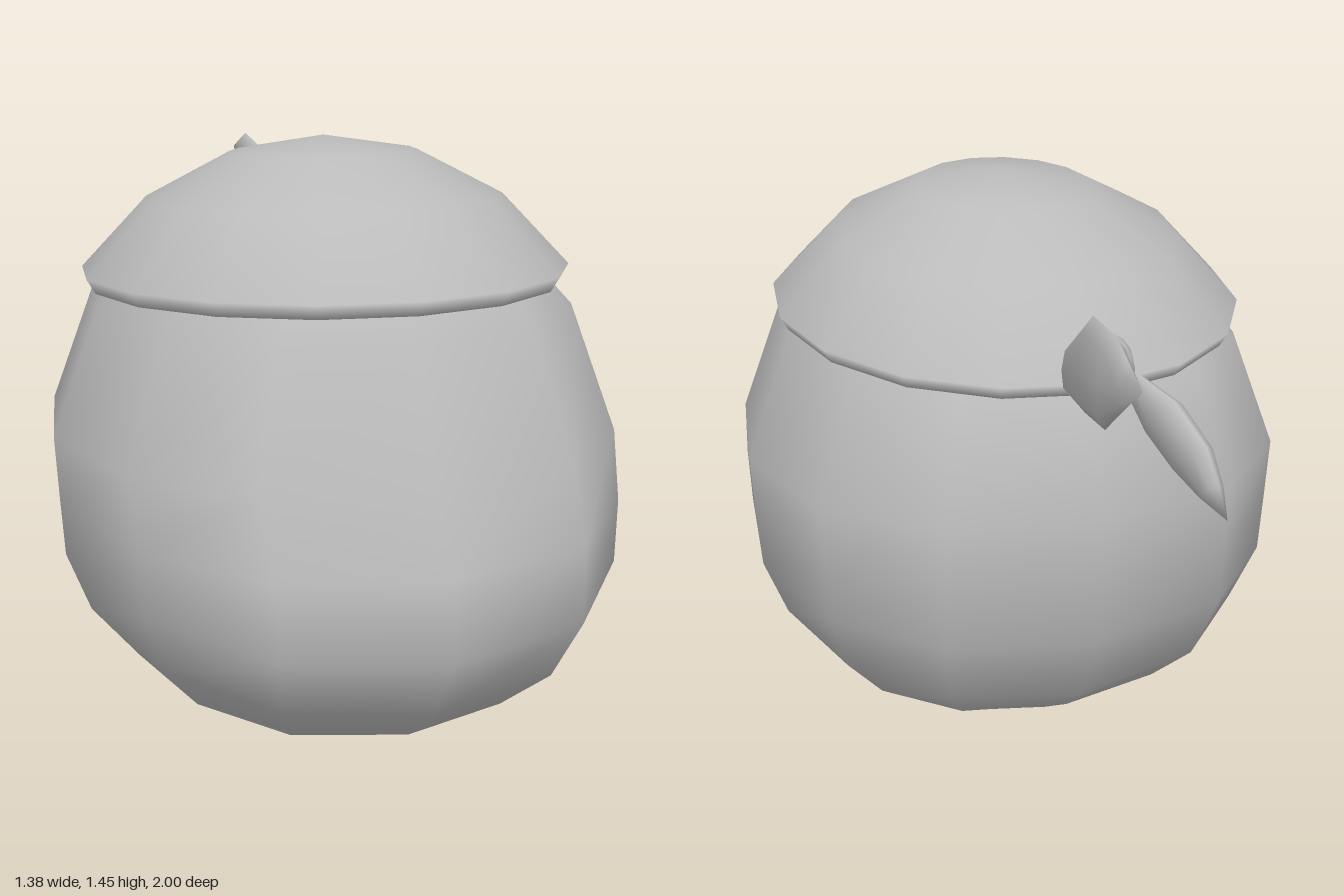
import * as THREE from 'three';
import { mergeVertices } from 'three/addons/utils/BufferGeometryUtils.js';

const grey = new THREE.MeshStandardMaterial({ color: 0xbbbbbb });
grey.name = 'plain grey';

// Skin over a list of equal-sized rings of [x, y, z] points, with smooth normals
function loft(rings) {
  const n = rings[0].length, index = [];
  for (let i = 0; i < rings.length - 1; i++) {
    for (let j = 0; j < n; j++) {
      const a = i * n + j, b = i * n + (j + 1) % n;
      index.push(a, b, b + n, a, b + n, a + n);
    }
  }
  const geo = new THREE.BufferGeometry();
  geo.setAttribute('position', new THREE.Float32BufferAttribute(rings.flat(2), 3));
  geo.setIndex(index);
  return smooth(geo);
}

function smooth(geo) {
  geo.deleteAttribute('uv');
  geo.deleteAttribute('normal');
  const merged = mergeVertices(geo, 1e-4);
  merged.computeVertexNormals();
  return merged;
}

// Head ring: front height and depth, side height and half width, back height and depth
function headRing([yF, zF, yS, w, yB, zB]) {
  const zc = 0.175, ring = [];
  const swell = v => Math.sign(v) * Math.pow(Math.abs(v), 0.88);
  for (let j = 0; j < 12; j++) {
    const a = j * Math.PI / 6, s = Math.sin(a), c = Math.cos(a);
    const y = yS + ((c > 0 ? yF : yB) - yS) * c * c;
    ring.push([w * swell(s), y, zc + swell(c) * (c > 0 ? zF - zc : zc - zB)]);
  }
  return ring;
}

// Cloth tail: each section has x, half thickness, upper edge y z, lower edge y z
function tail(sections) {
  return loft(sections.map(([x, t, y1, z1, y0, z0]) => {
    const ring = [];
    for (let j = 0; j < 8; j++) {
      const a = j * Math.PI / 4, c = Math.cos(a), s = -Math.sin(a);
      ring.push([x + t * c, (y1 + y0) / 2 + s * (y1 - y0) / 2, (z1 + z0) / 2 + s * (z1 - z0) / 2]);
    }
    return ring;
  }));
}

export function createModel() {
  const model = new THREE.Group();
  const add = (name, geo) => {
    const mesh = new THREE.Mesh(geo, grey);
    mesh.name = name;
    model.add(mesh);
    return mesh;
  };

  // Rounded head with a protruding lower front
  add('head', loft([
    [0, 0.175, 0, 0, 0, 0.175],
    [0.05, 0.55, 0.08, 0.29, 0.06, -0.14],
    [0.13, 0.75, 0.17, 0.49, 0.15, -0.29],
    [0.24, 0.90, 0.31, 0.61, 0.24, -0.40],
    [0.40, 1.00, 0.46, 0.67, 0.43, -0.49],
    [0.59, 0.985, 0.60, 0.68, 0.60, -0.50],
    [0.76, 0.89, 0.76, 0.69, 0.76, -0.51],
    [1.07, 0.79, 1.07, 0.575, 1.03, -0.43],
    [1.24, 0.62, 1.24, 0.42, 1.22, -0.24],
    [1.34, 0.175, 1.34, 0, 1.34, 0.175],
  ].map(headRing)));

  // Domed cloth cap, higher at the front, with a turned-under rim
  const profile = [[0.78, 0], [0.91, -0.032], [0.965, -0.035], [1, 0], [0.725, 0.175], [0.38, 0.283], [0, 0.32]];
  const cap = new THREE.LatheGeometry(profile.map(p => new THREE.Vector2(...p)), 16);
  cap.scale(0.595, 1, 0.64);
  const pos = cap.attributes.position;
  for (let i = 0; i < pos.count; i++) pos.setY(i, pos.getY(i) + 1.133 + 0.052 * pos.getZ(i));
  cap.translate(0, 0, 0.16);
  add('cap', smooth(cap));

  // Knot at the back
  add('knot', new THREE.SphereGeometry(0.083, 10, 8)).position.set(0, 1.14, -0.472);

  // Two tails of the knot
  add('longTail', tail([
    [0.06, 0, 1.12, -0.44, 1.10, -0.44],
    [0.075, 0.022, 1.21, -0.48, 1.08, -0.47],
    [0.095, 0.034, 1.33, -0.65, 1.09, -0.61],
    [0.115, 0.034, 1.34, -0.82, 1.11, -0.77],
    [0.128, 0.02, 1.315, -0.91, 1.19, -0.88],
    [0.135, 0, 1.28, -1.0, 1.28, -1.0],
  ]));
  add('shortTail', tail([
    [-0.06, 0, 1.12, -0.44, 1.10, -0.44],
    [-0.085, 0.022, 1.12, -0.49, 1.05, -0.48],
    [-0.11, 0.042, 1.10, -0.64, 0.98, -0.54],
    [-0.135, 0.038, 1.03, -0.76, 0.92, -0.63],
    [-0.15, 0.024, 0.95, -0.80, 0.89, -0.73],
    [-0.165, 0, 0.87, -0.82, 0.87, -0.82],
  ]));
  return model;
}
